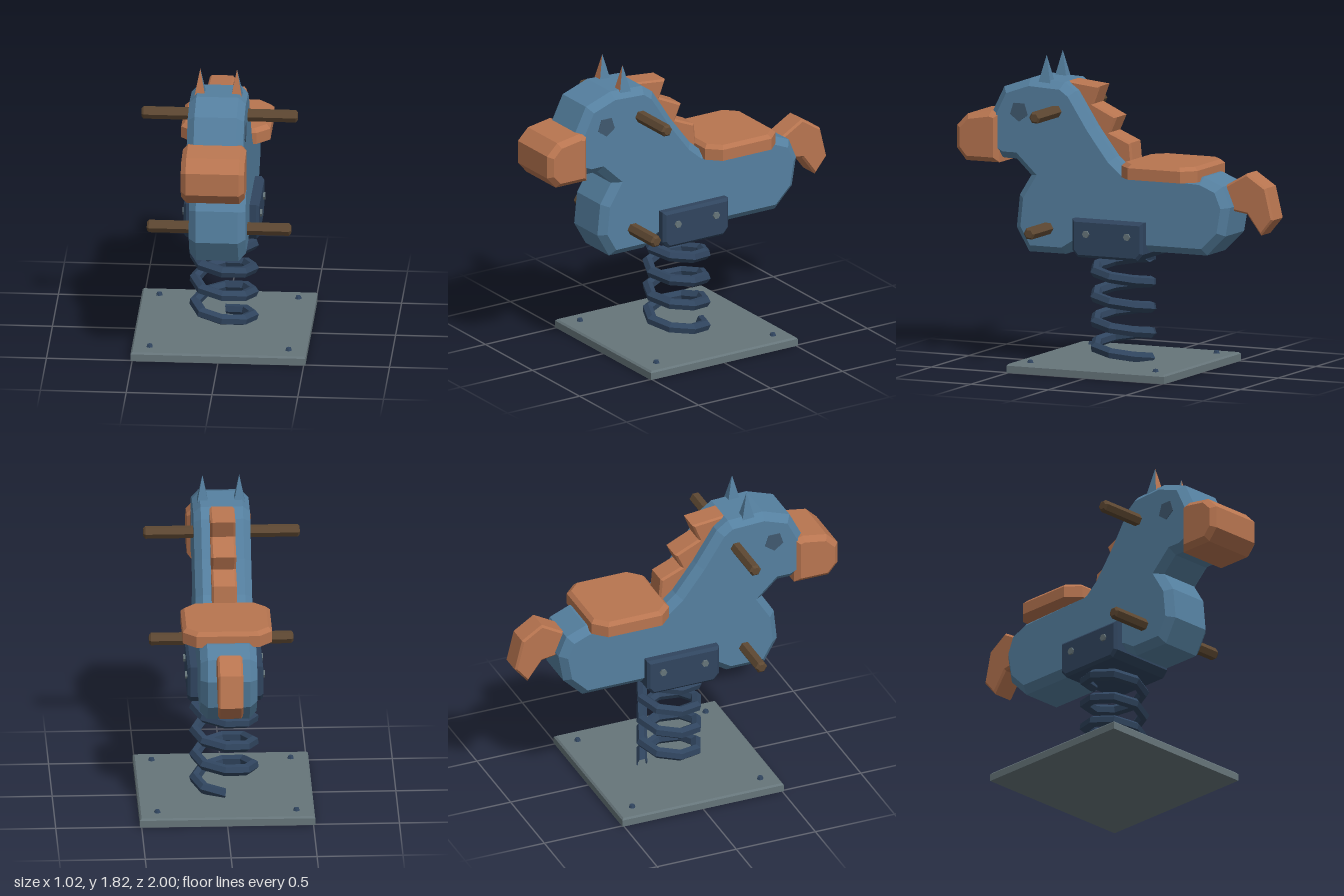
import * as THREE from 'three';

const paint = (name, color) => new THREE.MeshStandardMaterial({ name, color, flatShading: true });

export function createModel() {
  const blue = paint('body blue', 0x5580a0);
  const orange = paint('saddle orange', 0xb87550);
  const brown = paint('handle brown', 0x5e4832);
  const navy = paint('spring navy', 0x30455f);
  const grey = paint('plate grey', 0x66757a);
  const slate = paint('eye slate', 0x40596f);

  const group = new THREE.Group();
  const add = (name, geometry, material, x = 0, y = 0, z = 0) => {
    const mesh = new THREE.Mesh(geometry, material);
    mesh.name = name;
    mesh.position.set(x, y, z);
    group.add(mesh);
    return mesh;
  };
  const shapeOf = (pts) => new THREE.Shape(pts.map(([a, b]) => new THREE.Vector2(a, b)));

  // Side profile given as [z, y], widened along x with a chamfer inside the outline
  const slab = (pts, halfWidth, bevel) => {
    const g = new THREE.ExtrudeGeometry(shapeOf(pts), {
      depth: 2 * (halfWidth - bevel), bevelEnabled: true, bevelSegments: 1,
      bevelSize: bevel, bevelThickness: bevel, bevelOffset: -bevel,
    });
    g.translate(0, 0, -(halfWidth - bevel));
    return g.rotateY(-Math.PI / 2);
  };

  // Flat board with cut corners and a chamfered top edge
  const board = (hx, hz, cut, height, bevel) => {
    const pts = cut
      ? [[hx, -hz + cut], [hx, hz - cut], [hx - cut, hz], [-hx + cut, hz],
        [-hx, hz - cut], [-hx, -hz + cut], [-hx + cut, -hz], [hx - cut, -hz]]
      : [[hx, -hz], [hx, hz], [-hx, hz], [-hx, -hz]];
    const g = new THREE.ExtrudeGeometry(shapeOf(pts), { depth: height, steps: 2, bevelEnabled: false });
    const p = g.attributes.position;
    for (let i = 0; i < p.count; i++) {
      const h = p.getZ(i);
      if (h > height * 0.9) p.setXY(i, p.getX(i) * (1 - bevel / hx), p.getY(i) * (1 - bevel / hz));
      else if (h > height * 0.1) p.setZ(i, height - bevel);
    }
    g.rotateX(-Math.PI / 2);
    g.computeVertexNormals();
    return g;
  };

  // Horse body
  add('body', slab([
    [0.32, 1.67], [0.54, 1.68], [0.71, 1.62], [0.79, 1.46], [0.79, 1.24], [0.71, 1.2],
    [0.63, 1.2], [0.535, 1.11], [0.61, 0.99], [0.63, 0.8], [0.55, 0.66], [0.31, 0.66],
    [0.23, 0.71], [-0.6, 0.71], [-0.72, 0.83], [-0.75, 1.0], [-0.7, 1.12], [-0.58, 1.17],
    [-0.08, 1.19], [-0.01, 1.25], [0.12, 1.42], [0.25, 1.62],
  ], 0.165, 0.042), blue);

  add('muzzle', slab([
    [1.0, 1.38], [0.93, 1.45], [0.78, 1.475], [0.725, 1.46], [0.725, 1.175], [0.94, 1.175], [1.0, 1.245],
  ], 0.185, 0.03), orange);

  add('mane', slab([
    [0.32, 1.67], [0.26, 1.56], [0.08, 1.28], [0.0, 1.16], [-0.08, 1.16], [-0.09, 1.22],
    [-0.08, 1.33], [0.05, 1.385], [0.01, 1.475], [0.16, 1.545], [0.12, 1.65],
  ].reverse(), 0.073, 0.012), orange);

  add('tail', slab([
    [-0.69, 1.12], [-0.83, 1.2], [-0.955, 1.12], [-1.0, 0.935], [-0.92, 0.84], [-0.83, 0.96], [-0.7, 0.98],
  ], 0.073, 0.012), orange);

  add('seat', board(0.26, 0.245, 0.075, 0.09, 0.022), orange, 0, 1.145, -0.322);

  // Ears: four-sided spikes with an orange front face
  for (const side of [-1, 1]) {
    const g = new THREE.CylinderGeometry(0, 0.05, 0.18, 4, 1, true, -Math.PI / 4).toNonIndexed();
    g.scale(1, 1, 1.2);
    g.clearGroups();
    const p = g.attributes.position;
    for (let i = 0; i < p.count; i += 3) {
      const z = p.getZ(i) + p.getZ(i + 1) + p.getZ(i + 2);
      const x = p.getX(i) + p.getX(i + 1) + p.getX(i + 2);
      g.addGroup(i, 3, z > 0.03 && Math.abs(x) < 0.03 ? 0 : 1);
    }
    add(side > 0 ? 'leftEar' : 'rightEar', g, [orange, blue], side * 0.107, 1.73, 0.445);
  }

  // Eyes: thin pentagons, point down
  for (const side of [-1, 1]) {
    const g = new THREE.CylinderGeometry(0.06, 0.06, 0.008, 5);
    g.rotateX(Math.PI / 2).rotateZ(Math.PI).rotateY(Math.PI / 2);
    const p = g.attributes.position;
    // Turn the lowest corner straight down
    let low = 0;
    for (let i = 0; i < p.count; i++) if (p.getY(i) < p.getY(low)) low = i;
    g.rotateX(Math.atan2(p.getZ(low), -p.getY(low)));
    add(side > 0 ? 'leftEye' : 'rightEye', g, slate, side * 0.165, 1.485, 0.595);
  }

  // Hexagonal bars with chamfered ends
  const bar = (name, half, y, z) => {
    const r = 0.037, c = 0.012;
    const g = new THREE.LatheGeometry([
      new THREE.Vector2(0, -half), new THREE.Vector2(r - c, -half), new THREE.Vector2(r, -half + c),
      new THREE.Vector2(r, half - c), new THREE.Vector2(r - c, half), new THREE.Vector2(0, half),
    ], 6);
    add(name, g.rotateZ(Math.PI / 2), brown, 0, y, z);
  };
  bar('handlebar', 0.455, 1.5, 0.357);
  bar('footrest', 0.42, 0.81, 0.41);

  // Bracket holding the body on the spring
  add('bracket', slab([
    [0.23, 0.885], [-0.225, 0.885], [-0.225, 0.7], [-0.19, 0.66], [0.195, 0.66], [0.23, 0.7],
  ], 0.22, 0.016), navy);
  for (const side of [-1, 1]) {
    for (const z of [0.135, -0.13]) {
      const g = new THREE.CylinderGeometry(0.022, 0.022, 0.02, 6).rotateZ(Math.PI / 2);
      add('bracketBolt', g, grey, side * 0.222, 0.8, z);
    }
  }

  // Coil spring, four turns of eight straight pieces
  const turns = 4, radius = 0.17, wire = 0.034;
  class Helix extends THREE.Curve {
    getPoint(t, target = new THREE.Vector3()) {
      const a = t * turns * Math.PI * 2;
      return target.set(radius * Math.sin(a), 0.065 + 0.595 * t, -radius * Math.cos(a));
    }
  }
  add('spring', new THREE.TubeGeometry(new Helix(), turns * 8, wire, 6), navy).material.side = THREE.DoubleSide;

  // Ground plate with four bolts
  add('basePlate', board(0.51, 0.51, 0, 0.052, 0.01), grey);
  for (const x of [-0.405, 0.405]) {
    for (const z of [-0.405, 0.405]) {
      add('plateBolt', new THREE.CylinderGeometry(0.014, 0.022, 0.02, 6), navy, x, 0.058, z);
    }
  }
  return group;
}
